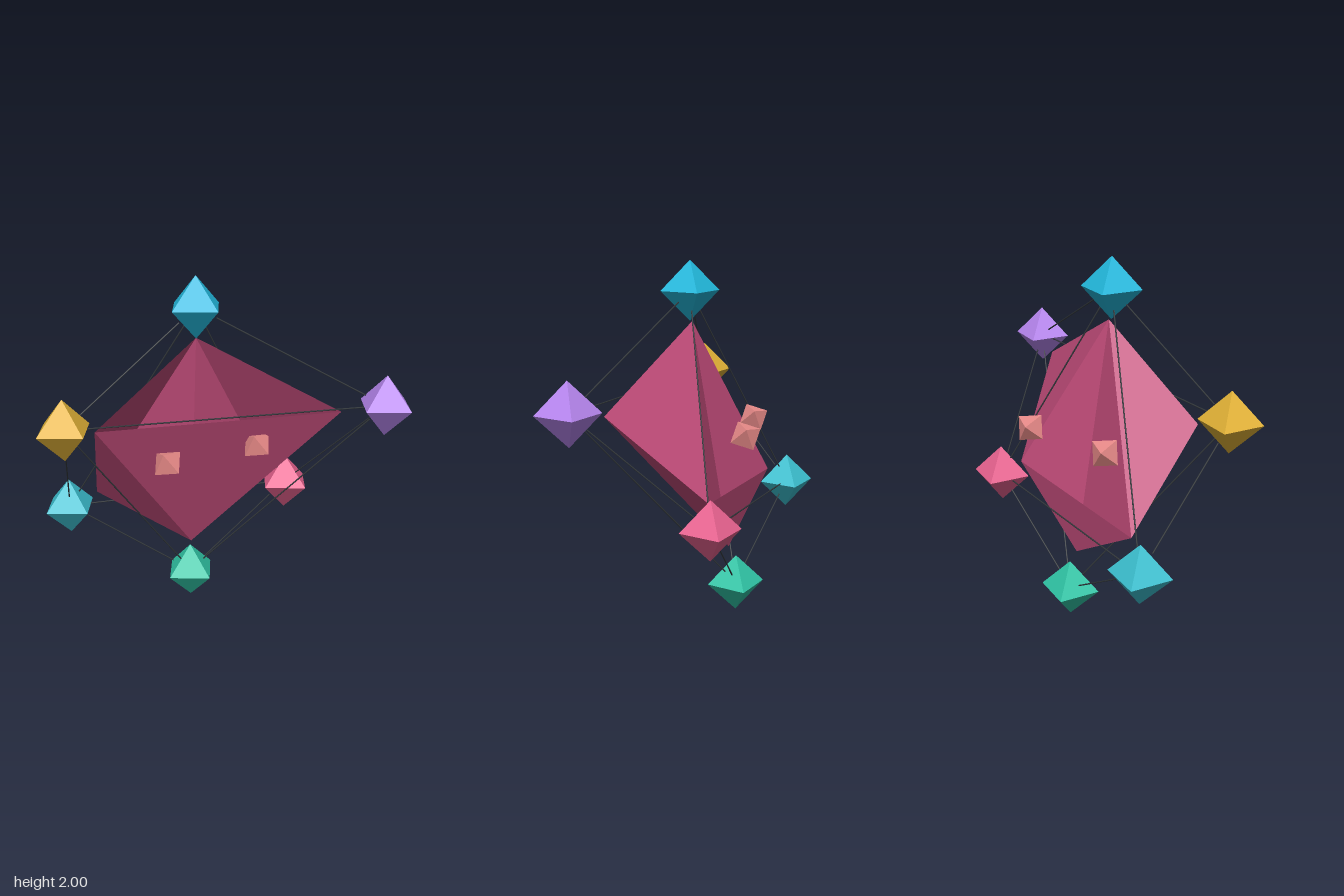
import * as THREE from 'three';

// Outer nodes: position and colour
const NODES = {
  top: [[-0.13, 1.835, 0.07], 0x22b8dc],
  frontRight: [[-0.815, 1.268, 0.34], 0xe2b236],
  frontLeft: [[0.865, 1.325, 0.19], 0xb685ee],
  backLeft: [[0.4, 0.68, -0.34], 0xe8628f],
  backRight: [[-0.87, 0.6, -0.215], 0x3cc0d0],
  bottom: [[-0.17, 0.166, -0.21], 0x30c5a6],
};

// Core crystal corners
const CORE = {
  top: [-0.13, 1.67, 0.055],
  frontRight: [-0.665, 1.225, 0.255],
  frontLeft: [0.64, 1.275, 0.135],
  backLeft: [0.285, 0.78, -0.27],
  backRight: [-0.705, 0.71, -0.16],
  bottom: [-0.165, 0.38, -0.165],
};

const RING = ['frontRight', 'frontLeft', 'backLeft', 'backRight'];

function material(color, side = THREE.FrontSide) {
  return new THREE.MeshStandardMaterial({ color, flatShading: true, side });
}

function addMesh(parent, name, geometry, mat) {
  const mesh = new THREE.Mesh(geometry, mat);
  mesh.name = name;
  parent.add(mesh);
  return mesh;
}

// Thin rod between two nodes, stopping short of their centres
function addRod(parent, from, to, mat) {
  const a = new THREE.Vector3(...NODES[from][0]);
  const b = new THREE.Vector3(...NODES[to][0]);
  const dir = b.clone().sub(a);
  const length = dir.length() - 0.24;
  const rod = addMesh(parent, 'connectingRod', new THREE.CylinderGeometry(0.004, 0.004, length, 6), mat);
  rod.position.copy(a).add(b).multiplyScalar(0.5);
  rod.quaternion.setFromUnitVectors(new THREE.Vector3(0, 1, 0), dir.normalize());
}

export function createModel() {
  const model = new THREE.Group();
  model.name = 'crystalCluster';

  // Core: closed lower half, open upper front and back with a folded inner wall
  const faces = [
    ['top', 'backRight', 'frontRight'],
    ['top', 'frontLeft', 'backLeft'],
    ['top', 'bottom', 'backRight'],
    ['top', 'backLeft', 'bottom'],
  ];
  RING.forEach((n, i) => faces.push(['bottom', RING[(i + 1) % 4], n]));
  const core = new THREE.BufferGeometry();
  core.setAttribute('position', new THREE.Float32BufferAttribute(
    faces.flatMap((face) => face.flatMap((n) => CORE[n])), 3));
  core.computeVertexNormals();
  addMesh(model, 'coreCrystal', core, material(0xc24c7a, THREE.DoubleSide));

  // Outer octahedral nodes
  const nodeGeometry = new THREE.OctahedronGeometry(0.166);
  nodeGeometry.rotateY(0.73);
  for (const [name, [position, color]] of Object.entries(NODES)) {
    addMesh(model, name + 'Node', nodeGeometry, material(color)).position.set(...position);
  }

  // Rods along the twelve edges of the outer cage
  const rods = new THREE.Group();
  rods.name = 'rodCage';
  const rodMaterial = new THREE.MeshStandardMaterial({ color: 0x33383c });
  RING.forEach((n, i) => {
    addRod(rods, 'top', n, rodMaterial);
    addRod(rods, 'bottom', n, rodMaterial);
    addRod(rods, n, RING[(i + 1) % 4], rodMaterial);
  });
  model.add(rods);

  // Small shards floating around the core
  const shardGeometry = new THREE.OctahedronGeometry(0.09);
  const shards = [
    [-0.29, 1.067, 0.31],
    [0.19, 1.097, 0.14],
    [-0.465, 1.085, -0.17],
    [0.01, 1.097, -0.345],
  ];
  for (const position of shards) {
    const shard = addMesh(model, 'smallShard', shardGeometry, material(0xe88a88));
    shard.position.set(...position);
    shard.rotation.set(0.5, 0.7, 0.3);
  }

  return model;
}
